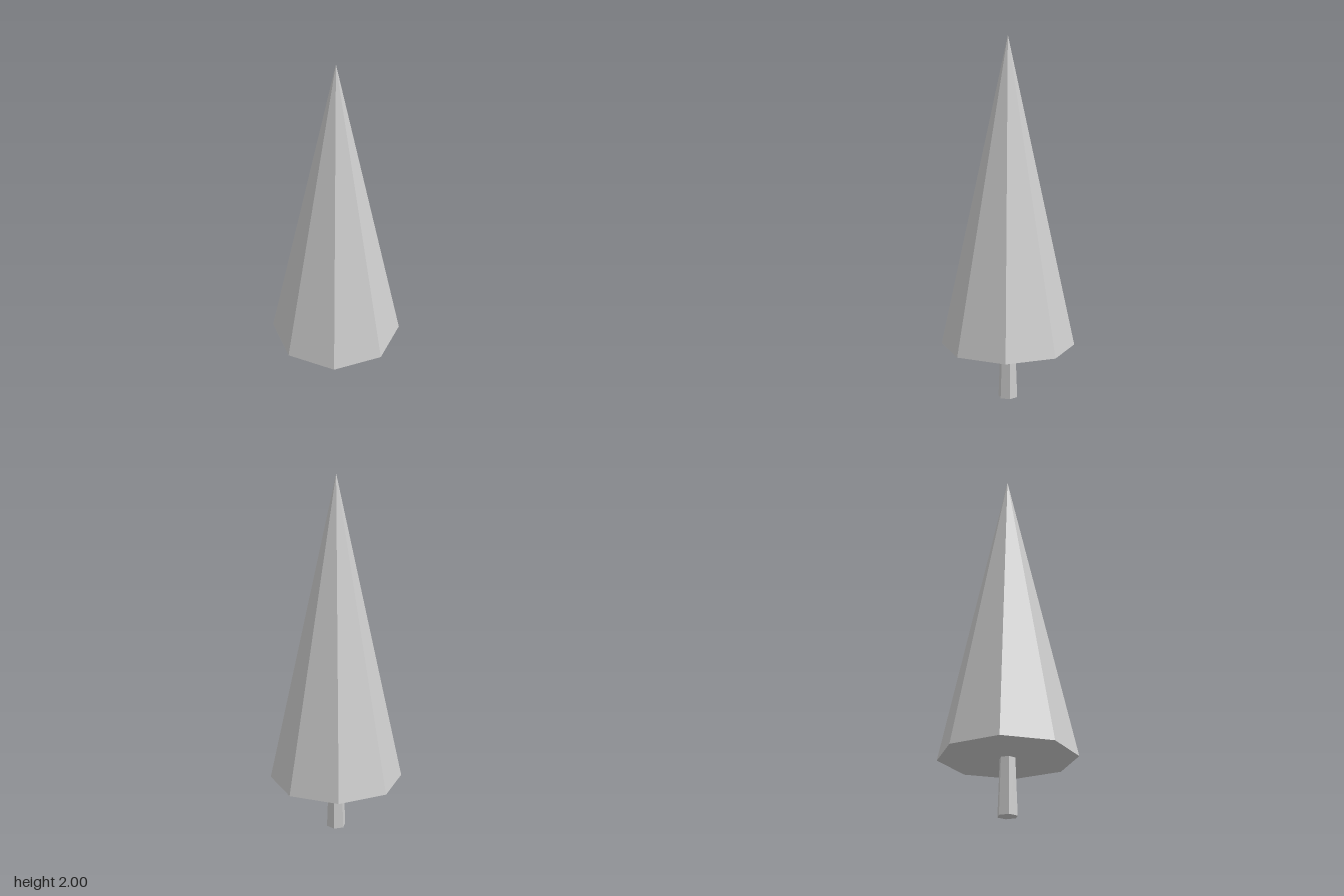
import * as THREE from 'three';

export function createModel() {
  const tree = new THREE.Group();
  tree.name = 'tree';

  const grey = new THREE.MeshStandardMaterial({ color: 0xcccccc });
  grey.name = 'plain grey';
  grey.flatShading = true;

  const addPart = (name, geometry, y) => {
    const mesh = new THREE.Mesh(geometry, grey);
    mesh.name = name;
    mesh.position.y = y;
    tree.add(mesh);
    return mesh;
  };

  // Eight-sided crown with corners on the axes and a closed underside
  const base = 0.305, top = 2, radius = 0.37;
  addPart('crown', new THREE.ConeGeometry(radius, top - base, 8), (base + top) / 2);

  // Six-sided tapered trunk, corners pointing along x
  const trunkHeight = 0.31;
  const trunk = addPart('trunk', new THREE.CylinderGeometry(0.043, 0.055, trunkHeight, 6), trunkHeight / 2);
  trunk.rotation.y = Math.PI / 6;

  return tree;
}
